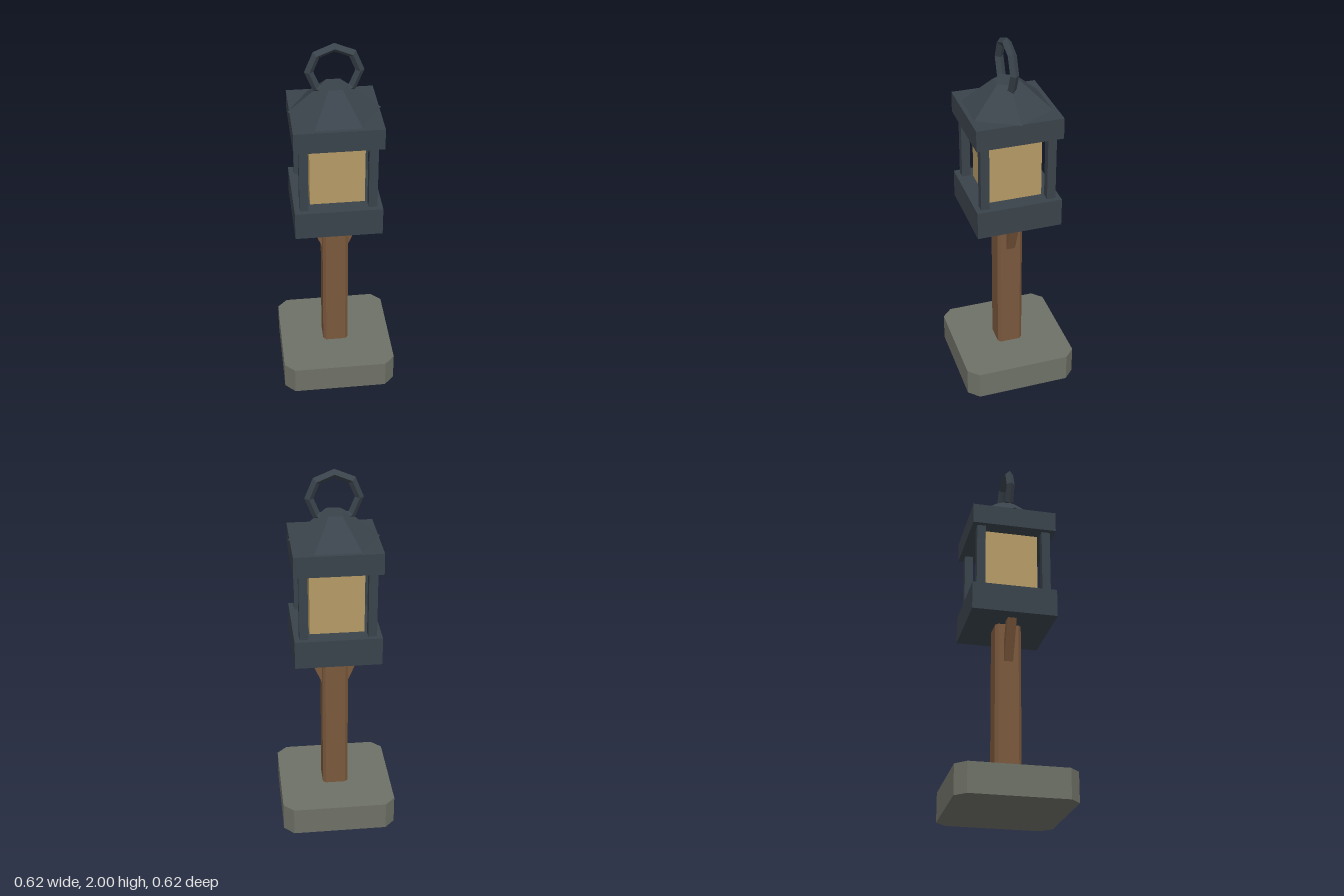
import * as THREE from 'three';

const material = (color) => new THREE.MeshStandardMaterial({ color, flatShading: true });

export function createModel() {
  const model = new THREE.Group();
  const stone = material(0x6e7166);
  const wood = material(0x7a583c);
  const iron = material(0x3a434b);
  const glass = material(0xb59a66);

  function add(name, geometry, mat, x = 0, y = 0, z = 0) {
    const mesh = new THREE.Mesh(geometry, mat);
    mesh.name = name;
    mesh.position.set(x, y, z);
    model.add(mesh);
    return mesh;
  }

  // Box between two heights, centred on the given x and z
  function block(name, width, y0, y1, mat, x = 0, z = 0) {
    return add(name, new THREE.BoxGeometry(width, y1 - y0, width), mat, x, (y0 + y1) / 2, z);
  }

  // Upright square prism with cut corners: h = half width, c = corner cut
  function chamferedPrism(name, h, c, y0, y1, mat) {
    const k = h - c;
    const outline = [[h, -k], [h, k], [k, h], [-k, h], [-h, k], [-h, -k], [-k, -h], [k, -h]];
    const shape = new THREE.Shape(outline.map(([x, y]) => new THREE.Vector2(x, y)));
    const geometry = new THREE.ExtrudeGeometry(shape, { depth: y1 - y0, bevelEnabled: false });
    geometry.rotateX(-Math.PI / 2);
    return add(name, geometry, mat, 0, y0, 0);
  }

  // Stone foot and wooden post
  chamferedPrism('base', 0.31, 0.055, 0, 0.157, stone);
  chamferedPrism('post', 0.07, 0.016, 0.157, 1.01, wood);

  // Slanted braces on the left and right of the post
  for (const side of [-1, 1]) {
    const low = new THREE.Vector2(0.03, 0.764);
    const high = new THREE.Vector2(0.15, 1.05);
    const mid = low.clone().add(high).multiplyScalar(0.5);
    const brace = add('brace', new THREE.BoxGeometry(0.05, low.distanceTo(high), 0.048), wood, side * mid.x, mid.y, 0);
    brace.rotation.z = -side * Math.atan2(high.x - low.x, high.y - low.y);
  }

  // Lantern body
  block('lowerFrame', 0.456, 1.007, 1.16, iron);
  block('upperFrame', 0.456, 1.52, 1.633, iron);
  block('glass', 0.286, 1.16, 1.52, glass);
  for (const x of [-0.178, 0.178]) {
    for (const z of [-0.178, 0.178]) block('cornerBar', 0.046, 1.16, 1.52, iron, x, z);
  }

  // Six-sided roof with corners pointing left and right
  const roof = new THREE.CylinderGeometry(0.07, 0.237, 0.14, 6);
  roof.rotateY(Math.PI / 6);
  add('roof', roof, iron, 0, 1.703, 0);

  // Carrying ring, sunk into the roof
  add('ring', new THREE.TorusGeometry(0.127, 0.023, 4, 8), iron, 0, 1.85, 0);

  return model;
}
